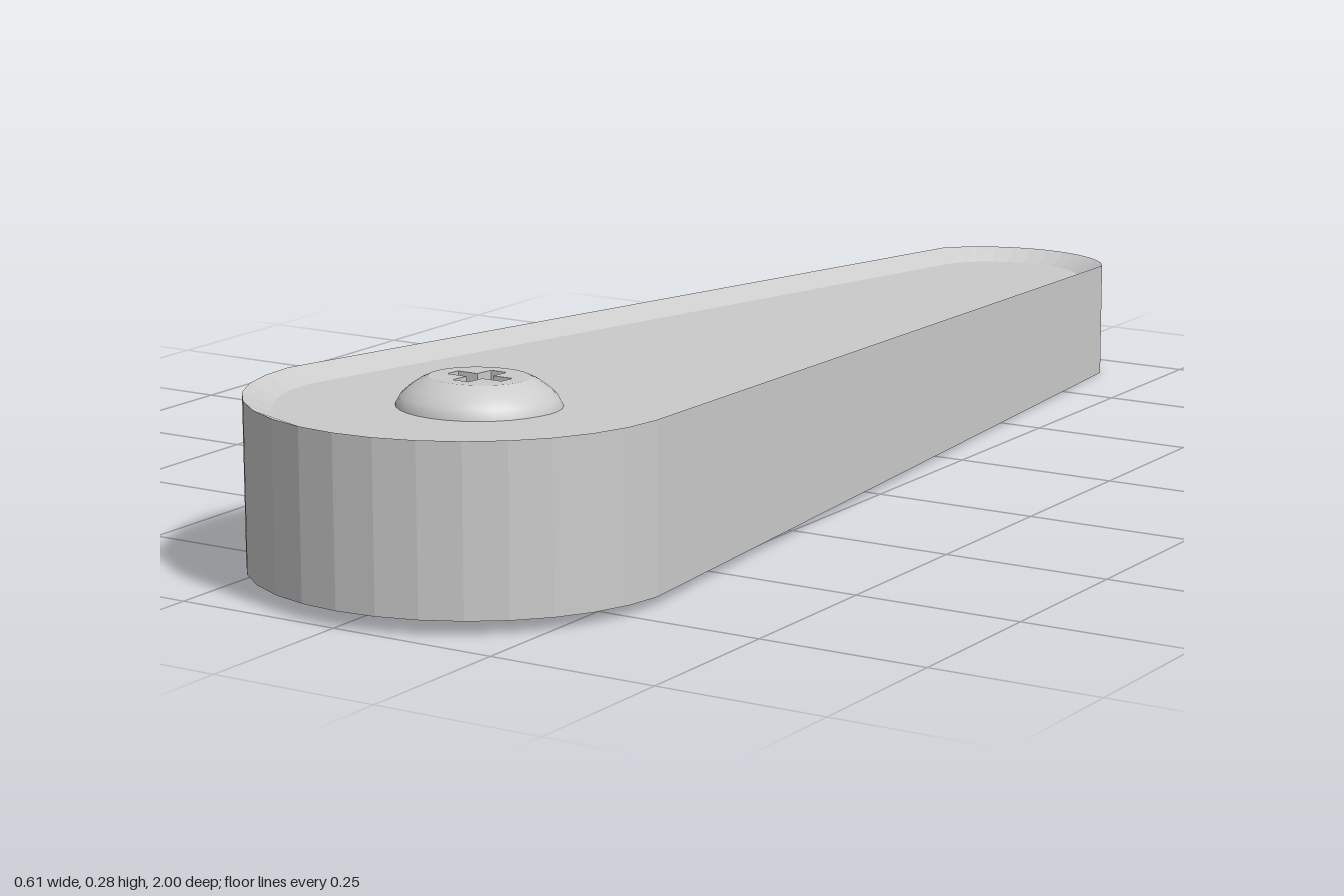
import * as THREE from 'three';

const grey = (extra = {}) => new THREE.MeshStandardMaterial({ color: 0xcccccc, ...extra });

// Heights of the rims along the handle, with a slight bend at the wide end's centre
const BEND = 0.69;
const topY = z => 0.256 + (z > BEND ? 0.02 : 0.0467) * (z - BEND);
const bottomY = z => 0.014 + (z > BEND ? 0.026 : 0.0083) * (z - BEND);

// Teardrop outline: wide arc, straight flank, narrow arc, then mirrored
function teardrop(rx, rz, tipX, tipZ, tipEnd) {
  const half = [];
  for (let i = 0; i <= 8; i++) {
    const a = (i / 8) * Math.PI / 2;
    half.push([rx * Math.sin(a), BEND + rz * Math.cos(a)]);
  }
  const sag = tipZ - tipEnd;
  const R = (tipX * tipX + sag * sag) / (2 * sag);
  const start = Math.asin(tipX / R);
  for (let i = 0; i <= 6; i++) {
    const a = start * (1 - i / 6);
    half.push([R * Math.sin(a), tipEnd + R - R * Math.cos(a)]);
  }
  const mirrored = half.slice(1, -1).reverse().map(([x, z]) => [-x, z]);
  return [...half, ...mirrored];
}

// Body: wall with sloped rims around a shallow recess above and below
function bodyGeometry() {
  const outer = teardrop(0.305, 0.305, 0.15, -0.905, -1);
  const inner = teardrop(0.272, 0.25, 0.117, -0.875, -0.963);
  const depth = 0.02;
  const rings = [
    inner.map(([x, z]) => [x, bottomY(z) + depth, z]),
    outer.map(([x, z]) => [x, bottomY(z), z]),
    outer.map(([x, z]) => [x, topY(z), z]),
    inner.map(([x, z]) => [x, topY(z) - depth, z]),
  ];
  const n = outer.length;
  const index = [];
  const quad = (a, b, c, d) => index.push(a, b, c, a, c, d);
  for (let r = 0; r < 3; r++) {
    for (let i = 0; i < n; i++) {
      const j = (i + 1) % n;
      quad(r * n + i, r * n + j, (r + 1) * n + j, (r + 1) * n + i);
    }
  }
  // Recess floors, made of strips across the handle
  const t = 3 * n;
  for (let i = 0; i < n / 2; i++) {
    const a = i, b = i + 1, c = n - i - 1, d = (n - i) % n;
    if (a !== d) {
      index.push(t + a, t + c, t + d, a, d, c);
    }
    if (b !== c) {
      index.push(t + a, t + b, t + c, a, c, b);
    }
  }
  const geo = new THREE.BufferGeometry();
  geo.setAttribute('position', new THREE.Float32BufferAttribute(rings.flat(2), 3));
  geo.setIndex(index);
  const flat = geo.toNonIndexed();
  flat.computeVertexNormals();
  return flat;
}

// Screw with a domed head and a cross-shaped socket
function createScrew() {
  const screw = new THREE.Group();
  screw.name = 'screw';
  const add = (geo, name, mat = grey()) => {
    const mesh = new THREE.Mesh(geo, mat);
    mesh.name = name;
    screw.add(mesh);
    return mesh;
  };

  const height = 0.043, socket = 0.02;
  const profile = [[0.115, -0.01], [0.115, 0.004], [0.108, 0.017], [0.096, 0.028], [0.083, 0.037], [0.07, height]];
  add(new THREE.LatheGeometry(profile.map(p => new THREE.Vector2(...p)), 32), 'screwHead');

  const disc = new THREE.Shape().absarc(0, 0, 0.07, 0, Math.PI * 2);
  const w = 0.013, l = 0.045;
  const corners = [];
  for (let k = 0; k < 4; k++) {
    const c = Math.round(Math.cos(k * Math.PI / 2)), s = Math.round(Math.sin(k * Math.PI / 2));
    for (const [x, y] of [[l, -w], [l, w], [w, w]]) {
      corners.push(new THREE.Vector2(x * c - y * s, x * s + y * c));
    }
  }
  disc.holes.push(new THREE.Path(corners.reverse()));
  const cap = add(new THREE.ExtrudeGeometry(disc, { depth: socket, bevelEnabled: false, curveSegments: 16 }), 'screwCap');
  cap.rotation.x = -Math.PI / 2;
  cap.position.y = height - socket;

  const floor = add(new THREE.CircleGeometry(0.06, 16), 'socketFloor');
  floor.rotation.x = -Math.PI / 2;
  floor.position.y = height - socket + 0.001;
  return screw;
}

export function createModel() {
  const model = new THREE.Group();
  model.name = 'leverHandle';

  const body = new THREE.Mesh(bodyGeometry(), grey({ flatShading: true }));
  body.name = 'handleBody';
  model.add(body);

  const screw = createScrew();
  screw.position.set(0, 0.231, 0.663);
  screw.rotation.x = -0.043;
  model.add(screw);

  return model;
}
